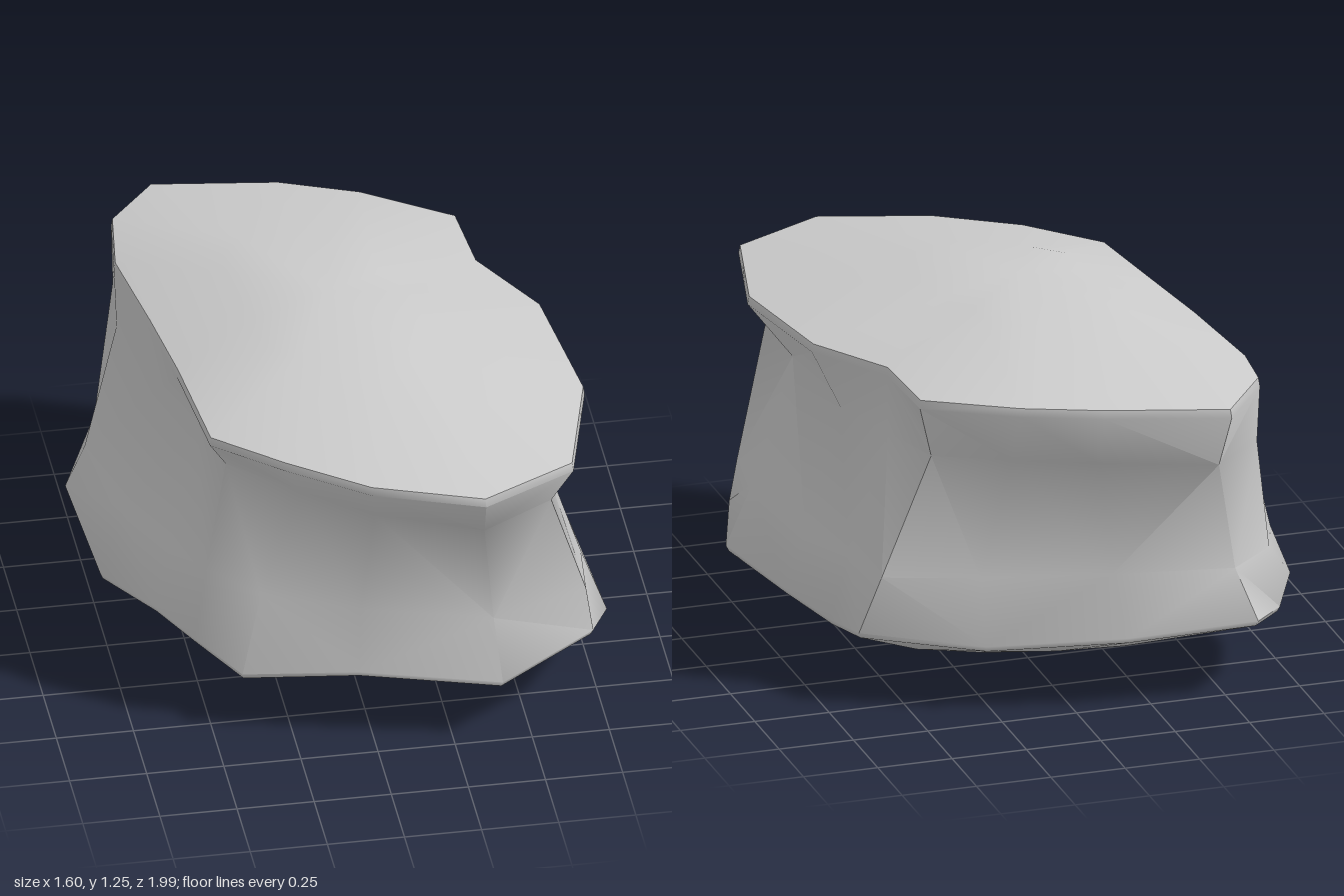
import * as THREE from 'three';
import { toCreasedNormals } from 'three/addons/utils/BufferGeometryUtils.js';

// Outlines as [x, z], running front-right, back-right, back-left, front-left
const TOP_RIM = [
  [.62, .83], [.73, .40], [.67, -.08], [.51, -.36],
  [.49, -.64], [.21, -.82], [-.04, -.92], [-.44, -1],
  [-.60, -.80], [-.63, -.57], [-.58, -.20], [-.54, .10],
  [-.50, .49], [-.29, .69], [-.04, .87], [.31, .99]];
const UPPER_WAIST = [
  [.57, .70], [.585, .38], [.575, -.08], [.50, -.34],
  [.43, -.57], [.20, -.69], [-.06, -.80], [-.42, -.93],
  [-.60, -.77], [-.63, -.52], [-.55, -.15], [-.47, .08],
  [-.42, .32], [-.21, .52], [0, .69], [.33, .84]];
const LOWER_WAIST = [
  [.70, .60], [.72, .38], [.69, -.07], [.62, -.30],
  [.58, -.52], [.28, -.62], [-.13, -.72], [-.52, -.79],
  [-.68, -.65], [-.74, -.48], [-.68, -.10], [-.57, .14],
  [-.48, .29], [-.33, .46], [-.03, .60], [.38, .72]];
const BOTTOM_RIM = [
  [.72, .62], [.80, .41], [.76, -.07], [.68, -.30],
  [.65, -.50], [.28, -.68], [-.16, -.80], [-.58, -.845],
  [-.70, -.70], [-.80, -.50], [-.76, -.07], [-.63, .20],
  [-.53, .38], [-.41, .58], [-.05, .68], [.40, .78]];
// Gentle waves of the two rims
const TOP_Y = [1.06, 1.06, 1.07, 1.075, 1.065, 1.07, 1.07, 1.055, 1.07, 1.055, 1.07, 1.07, 1.06, 1.07, 1.065, 1.06];
const BOTTOM_Y = [.30, .235, .265, .235, .26, .235, .255, .28, .26, .29, .23, .265, .25, .23, .265, .24];

// Ring of 3D points: outline scaled by s, at height y (number or list), then moved
const ring = (outline, y, s = 1, dx = 0, dy = 0, dz = 0) => outline.map(([x, z], i) =>
  new THREE.Vector3(x * s + dx, (Array.isArray(y) ? y[i] : y) + dy, z * s + dz));

// Skin rings from top to bottom, closed by a point at each end
function skin(top, rings, bottom) {
  const pos = [];
  const tri = (...pts) => pts.forEach((p) => pos.push(p.x, p.y, p.z));
  // Each quad is split along its shorter diagonal
  const quad = (a, b, c, d) => {
    if (a.distanceTo(c) < b.distanceTo(d)) { tri(a, b, c); tri(a, c, d); }
    else { tri(a, b, d); tri(b, c, d); }
  };
  const n = rings[0].length;
  const last = rings[rings.length - 1];
  for (let i = 0; i < n; i++) {
    const j = (i + 1) % n;
    tri(top, rings[0][i], rings[0][j]);
    for (let k = 0; k < rings.length - 1; k++) {
      quad(rings[k][i], rings[k + 1][i], rings[k + 1][j], rings[k][j]);
    }
    tri(bottom, last[j], last[i]);
  }
  const geo = new THREE.BufferGeometry();
  geo.setAttribute('position', new THREE.Float32BufferAttribute(pos, 3));
  return toCreasedNormals(geo, 0.95);
}

export function createModel() {
  const group = new THREE.Group();
  group.name = 'rock';
  const geo = skin(new THREE.Vector3(-.03, 1.247, -.05), [
    ring(TOP_RIM, 1.2, .43, -.05, 0, -.04),       // domed top, fuller on one side
    ring(TOP_RIM, TOP_Y, .994, 0, .028),          // narrow rim band
    ring(TOP_RIM, TOP_Y),
    ring(UPPER_WAIST, .87),
    ring(LOWER_WAIST, .45),
    ring(BOTTOM_RIM, BOTTOM_Y),
    ring(BOTTOM_RIM, BOTTOM_Y, .99, 0, -.018),
    ring(BOTTOM_RIM, .08, .52, .04),              // shallow pointed underside
  ], new THREE.Vector3(-.01, 0, -.06));
  const mesh = new THREE.Mesh(geo, new THREE.MeshStandardMaterial({ color: 0xcccccc }));
  mesh.name = 'rockBody';
  group.add(mesh);
  return group;
}
